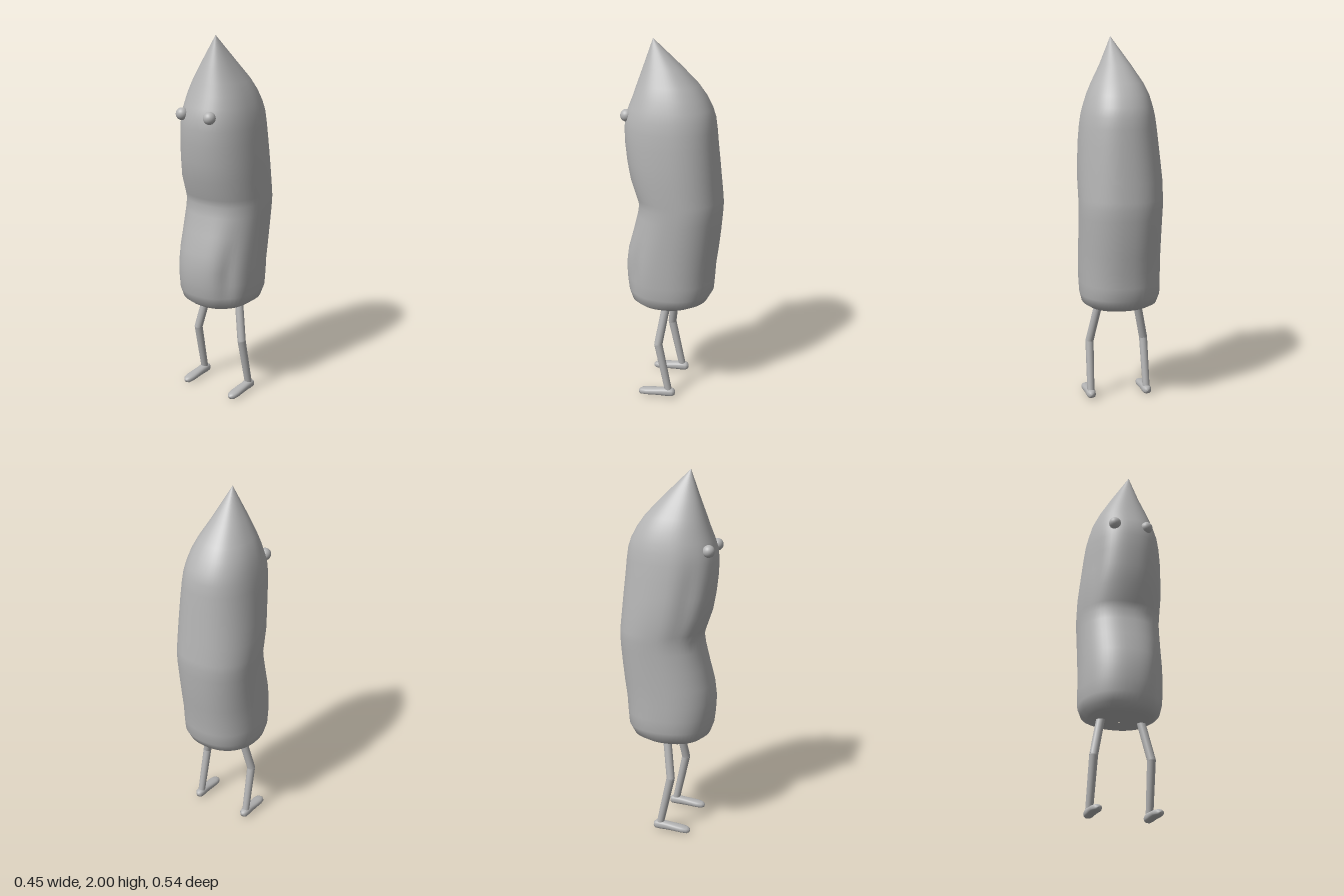
import * as THREE from 'three';

// Closed skin through superellipse rings; each row is [y, xMin, xMax, zMin, zMax]
function loft(rows, sides, power, dent = () => 1) {
  const pos = [], index = [];
  const soft = (v) => Math.sign(v) * Math.abs(v) ** (2 / power);
  rows.forEach(([y, x0, x1, z0, z1], i) => {
    for (let j = 0; j < sides; j++) {
      const a = (j / sides) * Math.PI * 2, k = dent(a, y);
      pos.push((x0 + x1) / 2 + ((x1 - x0) / 2) * soft(Math.cos(a)) * k, y,
        (z0 + z1) / 2 + ((z1 - z0) / 2) * soft(Math.sin(a)) * k);
      if (i === rows.length - 1) continue;
      const p = i * sides + j, q = i * sides + ((j + 1) % sides);
      index.push(p, p + sides, q, q, p + sides, q + sides);
    }
  });
  const g = new THREE.BufferGeometry();
  g.setAttribute('position', new THREE.Float32BufferAttribute(pos, 3));
  g.setIndex(index);
  g.computeVertexNormals();
  return g;
}

export function createModel() {
  const group = new THREE.Group();
  const grey = new THREE.MeshStandardMaterial({ color: 0xb4b4b4 });
  grey.name = 'plain grey';
  const add = (name, geometry, parent = group) => {
    const mesh = new THREE.Mesh(geometry, grey);
    mesh.name = name;
    parent.add(mesh);
    return mesh;
  };

  // Tall body with a pinched front and an off-centre pointed top
  const rows = [
    [0.53, -0.01, 0, 0, 0.01],
    [0.525, -0.13, 0.12, -0.09, 0.16],
    [0.535, -0.175, 0.165, -0.14, 0.2],
    [0.56, -0.21, 0.2, -0.19, 0.232],
    [0.61, -0.225, 0.213, -0.218, 0.25],
    [0.68, -0.227, 0.217, -0.224, 0.258],
    [0.76, -0.226, 0.218, -0.23, 0.262],
    [0.85, -0.225, 0.219, -0.243, 0.25],
    [0.95, -0.225, 0.22, -0.254, 0.222],
    [1.05, -0.226, 0.222, -0.263, 0.196],
    [1.11, -0.228, 0.223, -0.266, 0.186],
    [1.15, -0.229, 0.223, -0.264, 0.198],
    [1.25, -0.229, 0.224, -0.254, 0.232],
    [1.35, -0.22, 0.22, -0.245, 0.25],
    [1.45, -0.21, 0.214, -0.235, 0.261],
    [1.53, -0.201, 0.206, -0.228, 0.264],
    [1.59, -0.192, 0.197, -0.22, 0.258],
    [1.64, -0.18, 0.184, -0.204, 0.242],
    [1.7, -0.163, 0.165, -0.172, 0.218],
    [1.76, -0.134, 0.138, -0.13, 0.197],
    [1.85, -0.078, 0.09, -0.045, 0.164],
    [2, 0.022, 0.022, 0.108, 0.108],
  ];
  // Shallow hollows on both front corners
  const bump = (v, at, width) => Math.exp(-(((v - at) / width) ** 2));
  const dent = (a, y) => 1
    - 0.08 * bump(a, 0.75, 0.22) * bump(y, 0.74, 0.14)
    - 0.06 * bump(a, 2.55, 0.25) * bump(y, 1.35, 0.2);
  add('body', loft(rows, 56, 2.25, dent));

  // Round eyes
  for (const [name, x] of [['leftEye', 0.085], ['rightEye', -0.097]]) {
    const eye = add(name, new THREE.SphereGeometry(0.033, 24, 16));
    eye.position.set(x, 1.6, 0.238);
  }

  // Thin bent legs with long flat feet
  const footRows = [
    [-0.045, 0, 0, -0.03, -0.03],
    [-0.042, -0.014, 0.014, -0.044, -0.016],
    [-0.03, -0.024, 0.024, -0.053, -0.009],
    [0, -0.027, 0.027, -0.056, -0.007],
    [0.03, -0.026, 0.026, -0.052, -0.007],
    [0.07, -0.028, 0.028, -0.047, -0.006],
    [0.12, -0.03, 0.03, -0.041, -0.003],
    [0.15, -0.024, 0.024, -0.036, -0.001],
    [0.163, -0.012, 0.012, -0.027, -0.007],
    [0.167, 0, 0, -0.018, -0.018],
  ];
  for (const [name, side, shift] of [['leftLeg', 1, 0.006], ['rightLeg', -1, -0.004]]) {
    const leg = new THREE.Group();
    leg.name = name;
    leg.position.x = shift;
    group.add(leg);
    const hip = new THREE.Vector3(side * 0.1, 0.56, 0.015);
    const knee = new THREE.Vector3(side * 0.15, 0.32, 0.052);
    const ankle = new THREE.Vector3(side * 0.155, 0.035, -0.008);
    const limb = (part, a, b, r0, r1) => {
      const dir = b.clone().sub(a);
      const mesh = add(part, new THREE.CylinderGeometry(r1, r0, dir.length(), 16), leg);
      mesh.position.copy(a).add(b).multiplyScalar(0.5);
      mesh.quaternion.setFromUnitVectors(new THREE.Vector3(0, 1, 0), dir.normalize());
    };
    limb('thigh', hip, knee, 0.023, 0.023);
    limb('shin', knee, ankle, 0.023, 0.02);
    add('knee', new THREE.SphereGeometry(0.023, 16, 12), leg).position.copy(knee);
    const foot = add('foot', loft(footRows, 20, 2.4).rotateX(Math.PI / 2), leg);
    foot.position.set(ankle.x, 0, 0);
  }
  return group;
}
